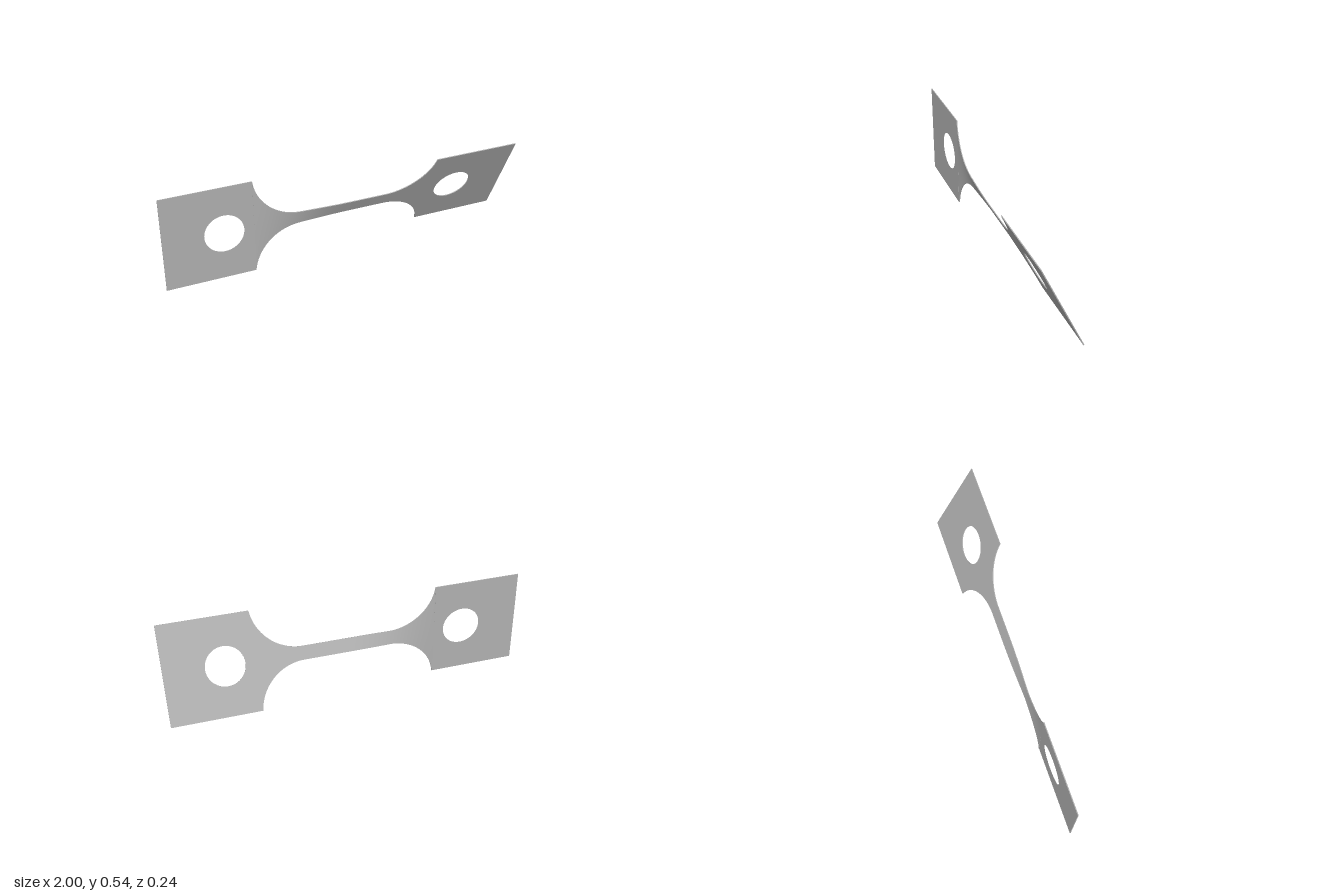
import * as THREE from 'three';

const HALF = 0.271;      // half height of the grip plates
const THICK = 0.005;
const GRIP_X = 0.508;    // where grips meet the waisted part
const FILLET = 0.265, FILLET_X = 0.245, GAUGE = 0.038;
const TILT_LEFT = THREE.MathUtils.degToRad(0.55);
const TILT_RIGHT = THREE.MathUtils.degToRad(25.9);

// Half height of the waisted strip: straight gauge, then circular fillets
function halfHeight(x) {
  const d = Math.max(0, Math.abs(x) - FILLET_X);
  return Math.min(HALF, GAUGE + FILLET - Math.sqrt(Math.max(0, FILLET ** 2 - d * d)));
}

// Twist angle along the length
function twist(x) {
  return THREE.MathUtils.lerp(TILT_LEFT, TILT_RIGHT, THREE.MathUtils.smoothstep(x, -0.55, 0.05));
}

// Flat square grip with a round pin hole
function gripGeometry(side) {
  const x0 = side * GRIP_X, x1 = side;
  const shape = new THREE.Shape([
    new THREE.Vector2(x0, -HALF), new THREE.Vector2(x1, -HALF),
    new THREE.Vector2(x1, HALF), new THREE.Vector2(x0, HALF),
  ]);
  const hole = new THREE.Path();
  hole.absarc(side * 0.671, 0, 0.108, 0, Math.PI * 2, true);
  shape.holes.push(hole);
  const geo = new THREE.ExtrudeGeometry(shape, { depth: THICK, bevelEnabled: false, curveSegments: 32 });
  return geo.translate(0, 0, -THICK / 2).rotateX(side < 0 ? TILT_LEFT : TILT_RIGHT);
}

// Waisted strip, shaped and twisted from a subdivided box
function neckGeometry() {
  const geo = new THREE.BoxGeometry(2 * GRIP_X, 2, THICK, 160, 8, 1);
  const pos = geo.attributes.position;
  for (let i = 0; i < pos.count; i++) {
    const x = pos.getX(i), y = pos.getY(i) * halfHeight(x), z = pos.getZ(i);
    const c = Math.cos(twist(x)), s = Math.sin(twist(x));
    pos.setXYZ(i, x, y * c - z * s, y * s + z * c);
  }
  geo.computeVertexNormals();
  return geo;
}

export function createModel() {
  const steel = new THREE.MeshStandardMaterial({ color: 0xb0b0b0 });
  steel.name = 'grey steel';
  const group = new THREE.Group();
  group.name = 'twistedTestStrip';
  const add = (name, geo) => {
    const mesh = new THREE.Mesh(geo, steel);
    mesh.name = name;
    mesh.position.y = HALF;
    group.add(mesh);
  };
  add('rightGrip', gripGeometry(-1));
  add('leftGrip', gripGeometry(1));
  add('twistedNeck', neckGeometry());
  return group;
}
